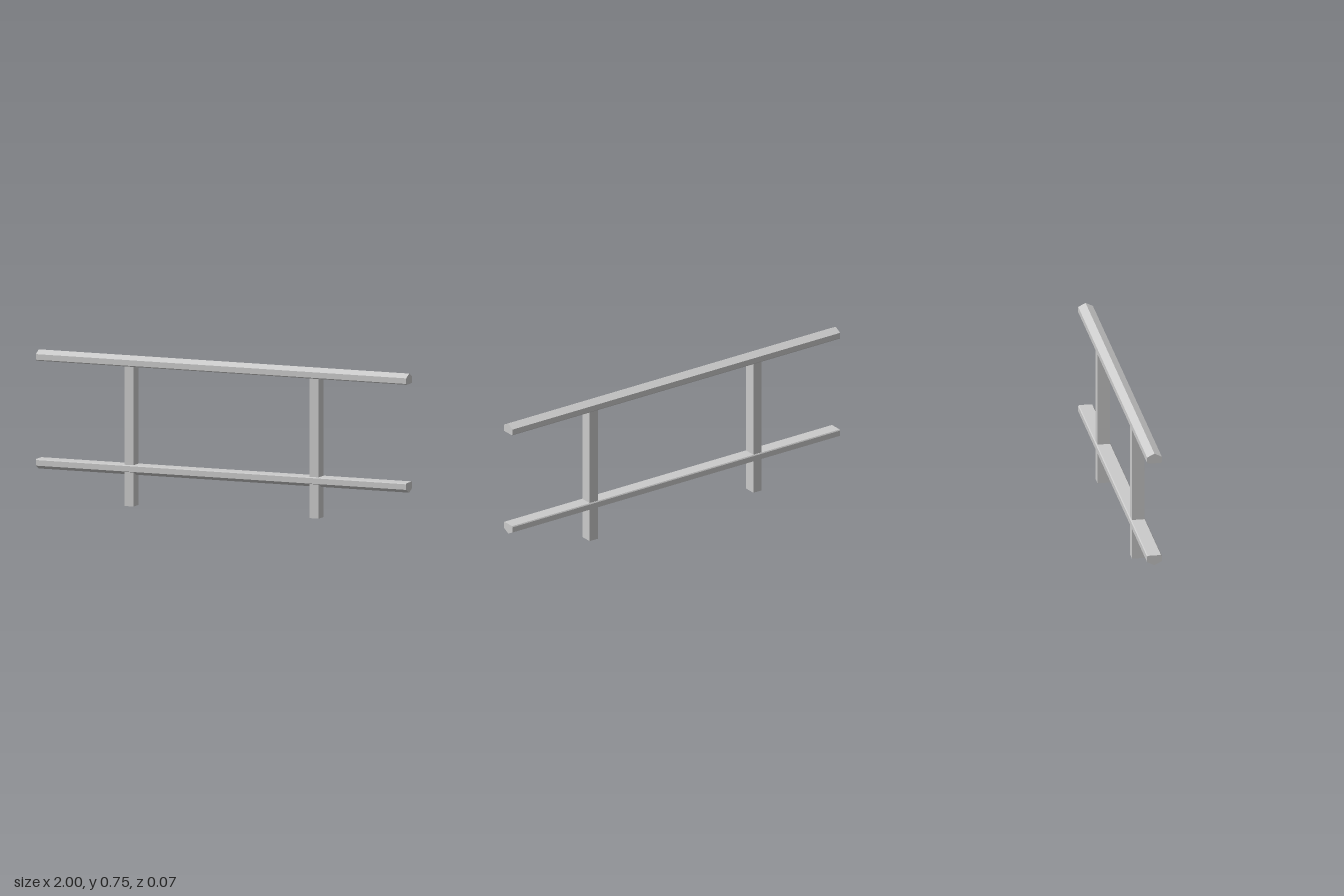
import * as THREE from 'three';

const material = new THREE.MeshStandardMaterial({ color: 0xcccccc, flatShading: true, side: THREE.DoubleSide });

// Long rail: flat chamfered base and a ridge, extruded along x
function makeRail(name) {
  const profile = new THREE.Shape([
    [-0.033, 0], [0.033, 0], [0.037, 0.005], [0.037, 0.033],
    [0, 0.052], [-0.037, 0.033], [-0.037, 0.005],
  ].map(([x, y]) => new THREE.Vector2(x, y)));
  const geometry = new THREE.ExtrudeGeometry(profile, { depth: 2, bevelEnabled: false });
  geometry.translate(0, 0, -1).rotateY(Math.PI / 2);
  const rail = new THREE.Mesh(geometry, material);
  rail.name = name;
  return rail;
}

// Hollow square post, open at its ends
function makePost(name, x) {
  const height = 0.702;
  const geometry = new THREE.CylinderGeometry(Math.SQRT1_2, Math.SQRT1_2, 1, 4, 1, true);
  geometry.rotateY(Math.PI / 4).scale(0.05, height, 0.062).translate(x, height / 2, 0);
  const post = new THREE.Mesh(geometry, material);
  post.name = name;
  return post;
}

export function createModel() {
  const model = new THREE.Group();
  model.name = 'railing';

  // Handrail with its ridge up
  const topRail = makeRail('topRail');
  topRail.position.y = 0.7;

  // Lower rail turned over, ridge down
  const lowerRail = makeRail('lowerRail');
  lowerRail.rotation.x = Math.PI;
  lowerRail.position.y = 0.207;

  model.add(topRail, lowerRail, makePost('leftPost', 0.5), makePost('rightPost', -0.5));
  return model;
}
